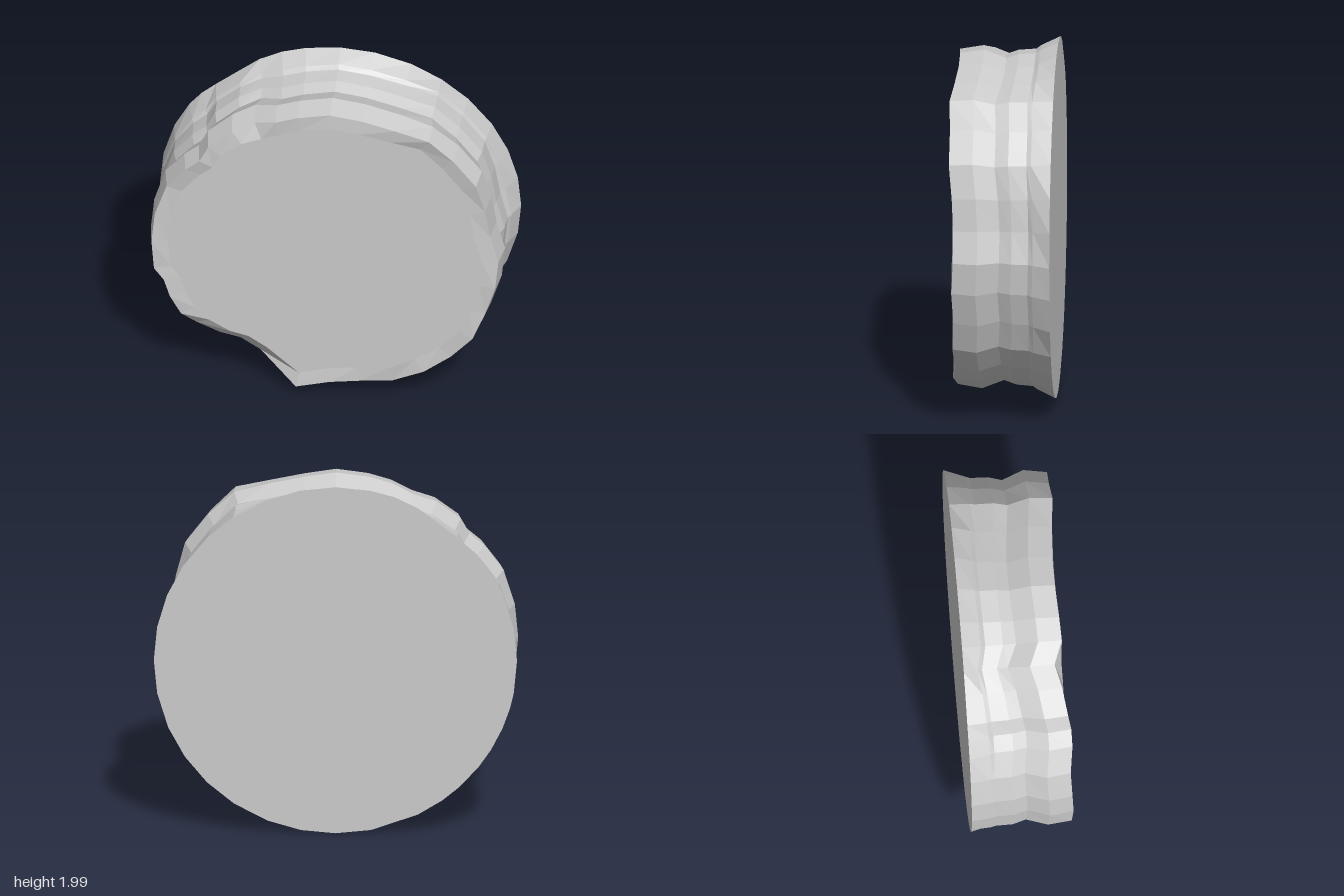
import * as THREE from 'three';

const CY = 0.995;

// Uneven front rim, anticlockwise from +x: angle in degrees, radius, wander in depth
const RIM = [
  [0, 0.93, -0.01], [11, 0.90, -0.01], [22, 0.925, 0], [33, 0.965, 0.02],
  [45, 0.97, 0.02], [56, 0.985, 0.03], [67, 0.935, 0.01], [79, 0.92, -0.005],
  [90, 0.93, -0.005], [101, 0.92, 0.005], [109, 0.915, 0.01], [117, 0.92, -0.045],
  [125, 0.94, -0.01], [135, 0.945, 0.015], [141, 0.92, 0.03], [147, 0.945, 0.03],
  [157, 0.975, 0.01], [169, 0.98, 0.015], [180, 0.98, 0.02], [191, 0.985, 0.01],
  [196, 0.95, 0.01], [203, 0.955, 0.01], [211, 0.955, 0], [218, 0.935, -0.05],
  [227, 0.895, -0.08], [234, 0.85, -0.09], [243, 0.855, -0.09], [258.75, 0.95, 0.01],
  [270, 0.885, 0.01], [281, 0.885, 0], [292, 0.925, -0.01], [304, 0.93, 0.01],
  [315, 0.945, -0.01], [326, 0.95, 0], [337, 0.93, -0.01], [349, 0.93, 0],
];
const N = RIM.length;

// Bands from front to back: depth, offset from the rim, blend towards the round back, share of the wander
const BANDS = [
  { z: 0.262, offset: 0, blend: 0, wave: 0.9 },
  { z: 0.13, offset: 0.022, blend: 0, wave: 1 },
  { z: 0.01, offset: -0.025, blend: 0, wave: 1 },
  { z: -0.06, offset: -0.005, blend: 0.05, wave: 0.8 },
  { z: -0.155, offset: -0.005, blend: 0.15, wave: 0.5 },
  { z: -0.18, offset: 0, blend: 0.35, wave: 0.5 },
  { z: -0.28, offset: 0, blend: 1, wave: 0 },
];
const FRONT = BANDS[0];
const BACK = BANDS[BANDS.length - 1];
// Level area of the front face, just inside its wandering rim
const INNER = { z: 0.262, offset: -0.09, blend: 0, wave: 0 };

function ringPoint(band, [degrees, radius, wander]) {
  const a = THREE.MathUtils.degToRad(degrees);
  // nearly circular back with one shallow dent
  const back = 0.995 - 0.03 * Math.exp(-(((degrees - 129) / 11) ** 2));
  const r = Math.min(0.998, THREE.MathUtils.lerp(radius + band.offset, back, band.blend));
  return [r * Math.cos(a), CY + r * Math.sin(a), band.z + band.wave * wander];
}

// Strip of faces joining each ring to the next
function makeLoft(name, bands) {
  const positions = bands.flatMap((band) => RIM.flatMap((point) => ringPoint(band, point)));
  const index = [];
  for (let b = 0; b < bands.length - 1; b++) {
    for (let i = 0; i < N; i++) {
      const p = b * N + i, q = b * N + ((i + 1) % N);
      index.push(p, p + N, q, q, p + N, q + N);
    }
  }
  return flatMesh(name, positions, index);
}

// Fan closing one ring
function makeCap(name, band, front) {
  const positions = [0, CY, band.z, ...RIM.flatMap((point) => ringPoint(band, point))];
  const index = [];
  for (let i = 0; i < N; i++) {
    const p = i + 1, q = ((i + 1) % N) + 1;
    index.push(0, front ? p : q, front ? q : p);
  }
  return flatMesh(name, positions, index);
}

function flatMesh(name, positions, index) {
  const indexed = new THREE.BufferGeometry();
  indexed.setAttribute('position', new THREE.Float32BufferAttribute(positions, 3));
  indexed.setIndex(index);
  const geometry = indexed.toNonIndexed();
  geometry.computeVertexNormals();
  const mesh = new THREE.Mesh(geometry, new THREE.MeshStandardMaterial({ color: 0xcccccc, flatShading: true }));
  mesh.name = name;
  return mesh;
}

export function createModel() {
  const group = new THREE.Group();
  group.name = 'raggedDisc';
  group.add(
    makeLoft('side', BANDS),
    makeLoft('frontRim', [INNER, FRONT]),
    makeCap('frontFace', INNER, true),
    makeCap('backFace', BACK, false),
  );
  return group;
}
